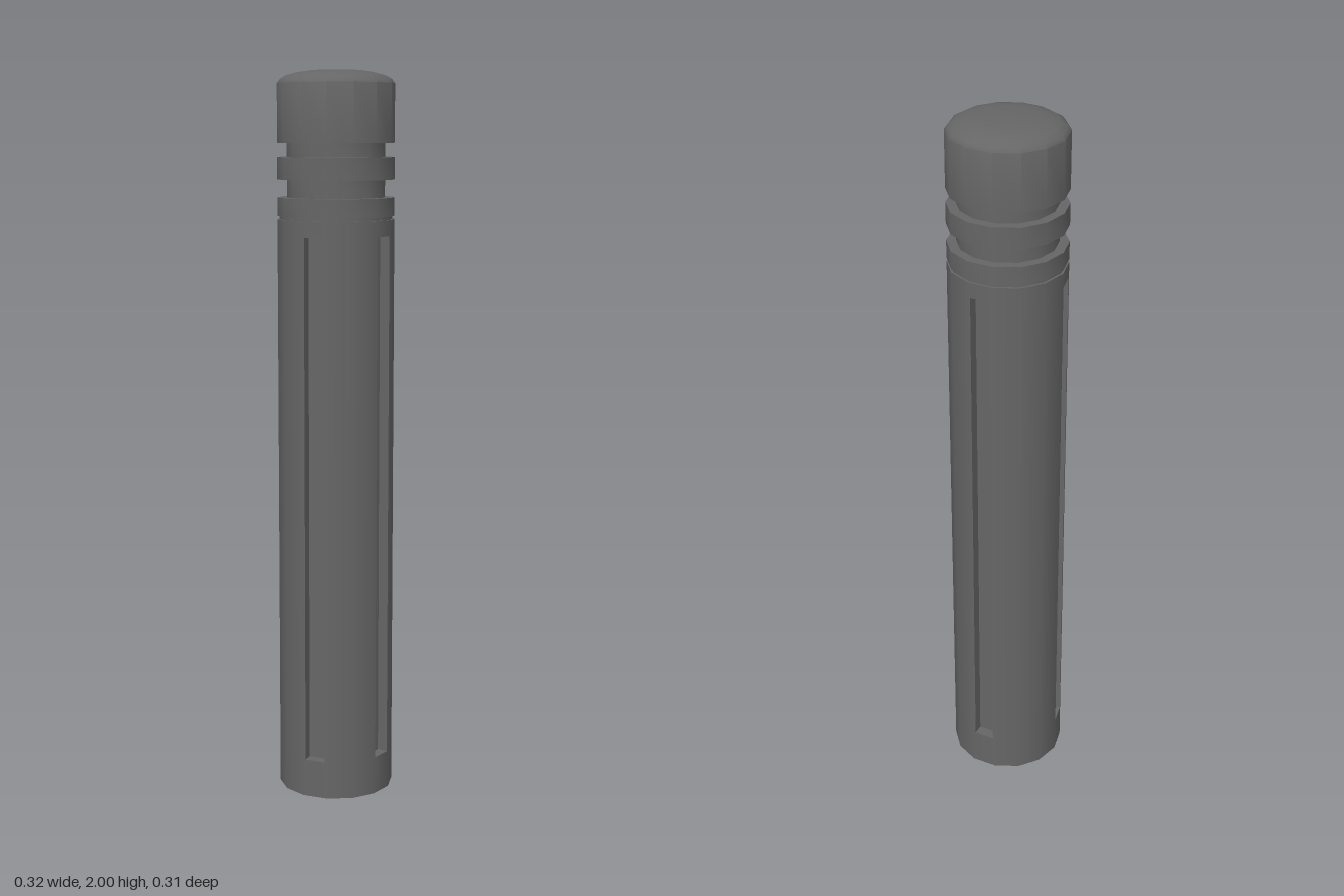
import * as THREE from 'three';
import { mergeGeometries, toCreasedNormals } from 'three/addons/utils/BufferGeometryUtils.js';

const SIDES = 14;
const R = 0.16;
const STEP = (Math.PI * 2) / SIDES;
const APOTHEM = R * Math.cos(STEP / 2);
const HALF = R * Math.sin(STEP / 2); // half width of one side panel
const BODY_TOP = 1.603;
const SLOT = { half: 0.029, bottom: 0.105, top: 1.56, depth: 0.03 };

// Side panels carrying a slot: front, back, and one on each flank
const SLOTTED = [0, 3, 7, 11];

const rect = (path, w, y0, y1) =>
  path.moveTo(-w, y0).lineTo(w, y0).lineTo(w, y1).lineTo(-w, y1).closePath();

// One flat side of the post, with radial normals so the ring shades smoothly
function panelGeometry(index) {
  const shape = new THREE.Shape();
  rect(shape, HALF, 0, BODY_TOP);
  if (SLOTTED.includes(index)) {
    const hole = new THREE.Path();
    rect(hole, SLOT.half, SLOT.bottom, SLOT.top);
    shape.holes.push(hole);
  }
  const geo = new THREE.ShapeGeometry(shape).translate(0, 0, APOTHEM).rotateY(index * STEP);
  const p = geo.attributes.position;
  for (let i = 0; i < p.count; i++) {
    const l = Math.hypot(p.getX(i), p.getZ(i));
    geo.attributes.normal.setXYZ(i, p.getX(i) / l, 0, p.getZ(i) / l);
  }
  return geo;
}

// Inward-facing box with its outer face left open
function recessGeometry(index) {
  const h = SLOT.top - SLOT.bottom;
  const box = new THREE.BoxGeometry(SLOT.half * 2, h, SLOT.depth);
  const kept = Array.from(box.index.array).filter((_, i) => i < 24 || i >= 30);
  box.setIndex(kept.reverse());
  const geo = box.toNonIndexed();
  geo.computeVertexNormals();
  return geo
    .translate(0, SLOT.bottom + h / 2, APOTHEM - SLOT.depth / 2)
    .rotateY(index * STEP);
}

// Turned part with a corner on the x axis and sharp profile edges
function turned(profile) {
  const points = profile.map(([r, y]) => new THREE.Vector2(r, y));
  const geo = new THREE.LatheGeometry(points, SIDES, Math.PI / 2);
  return toCreasedNormals(geo, 0.7);
}

export function createModel() {
  const group = new THREE.Group();
  const grey = new THREE.MeshStandardMaterial({ color: 0x666666, side: THREE.DoubleSide });
  grey.name = 'postGrey';

  const add = (name, geo) => {
    const mesh = new THREE.Mesh(geo, grey);
    mesh.name = name;
    group.add(mesh);
  };

  // Hollow post, open underneath
  add('postBody', mergeGeometries(Array.from({ length: SIDES }, (_, i) => panelGeometry(i))));
  SLOTTED.forEach((i) => add('slotRecess', recessGeometry(i)));

  // Thin seam between the post and its collar
  add('seam', turned([[R, BODY_TOP], [0.154, BODY_TOP], [0.154, 1.612], [R, 1.612]]));

  // Collar, two necks, ring and domed cap
  const neck = 0.134;
  add('collar', turned([[R, 1.612], [R, 1.662], [neck, 1.662]]));
  add('lowerNeck', turned([[neck, 1.662], [neck, 1.71]]));
  add('ring', turned([[neck, 1.71], [R, 1.71], [R, 1.77], [neck, 1.77]]));
  add('upperNeck', turned([[neck, 1.77], [neck, 1.808]]));
  add('cap', turned([
    [neck, 1.808], [R, 1.808], [R, 1.966], [0.152, 1.977],
    [0.135, 1.987], [0.105, 1.995], [0.068, 2], [0, 2],
  ]));
  return group;
}
